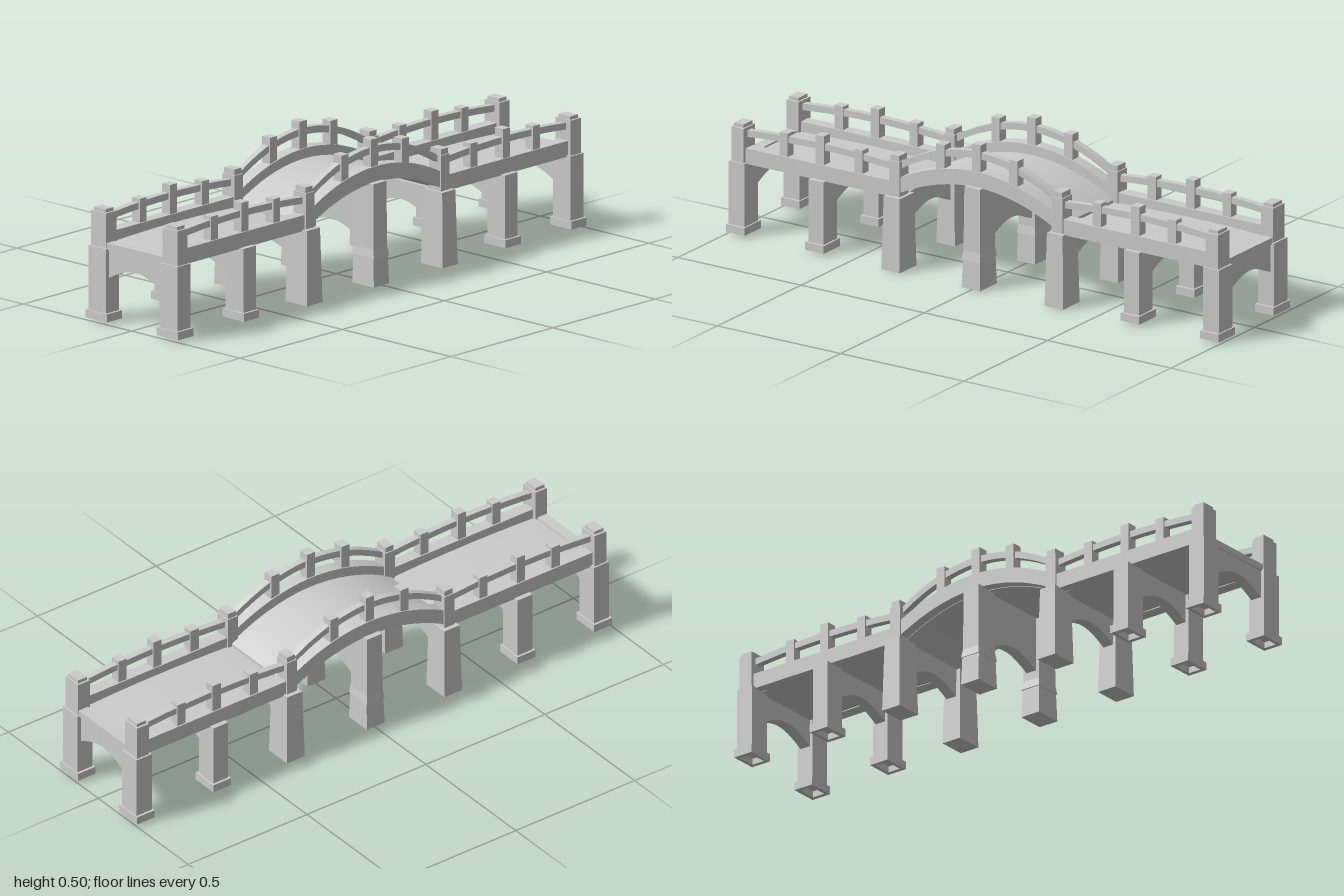
import * as THREE from 'three';

const material = new THREE.MeshStandardMaterial({ color: 0xcccccc, flatShading: true });
const SIDE = 0.1645; // x of both parapets and pillar rows
const MID = 0.334;   // z where the arched span meets the level spans
const END = 0.962;   // z of the end pillars

export function createModel() {
  const model = new THREE.Group();

  const add = (name, geometry, x = 0, y = 0, z = 0) => {
    const mesh = new THREE.Mesh(geometry, material);
    mesh.name = name;
    mesh.position.set(x, y, z);
    model.add(mesh);
    return mesh;
  };

  // box given by its centre in x and z and its lower and upper height
  const block = (name, x, z, w, d, y0, y1) =>
    add(name, new THREE.BoxGeometry(w, y1 - y0, d), x, (y0 + y1) / 2, z);

  // box whose top and bottom have different sizes
  const taper = (name, x, z, w0, d0, w1, d1, y0, y1) => {
    const g = new THREE.BoxGeometry(1, y1 - y0, 1);
    const p = g.attributes.position;
    for (let i = 0; i < p.count; i++) {
      const top = p.getY(i) > 0;
      p.setX(i, p.getX(i) * (top ? w1 : w0));
      p.setZ(i, p.getZ(i) * (top ? d1 : d0));
    }
    g.computeVertexNormals();
    return add(name, g, x, (y0 + y1) / 2, z);
  };

  // band running along z whose underside follows height(z)
  const band = (name, x, width, z0, z1, height, thickness, steps) => {
    const lower = [], upper = [];
    for (let i = 0; i <= steps; i++) {
      const z = z0 + (z1 - z0) * i / steps;
      lower.push(new THREE.Vector2(z, height(z)));
      upper.unshift(new THREE.Vector2(z, height(z) + thickness));
    }
    const g = new THREE.ExtrudeGeometry(new THREE.Shape([...lower, ...upper]),
      { depth: width, bevelEnabled: false });
    g.translate(0, 0, -width / 2).rotateY(-Math.PI / 2);
    return add(name, g, x);
  };

  const bow = (base, rise, centre, half) => z => base + rise * (1 - ((z - centre) / half) ** 2);

  // arched panel between two pillars
  const archPanel = (z, top) => {
    const s = new THREE.Shape();
    s.moveTo(-0.125, 0.157);
    for (let i = 1; i <= 14; i++) {
      const x = -0.125 + 0.25 * i / 14;
      s.lineTo(x, 0.157 + 0.041 * Math.cos(x / 0.125 * Math.PI / 2));
    }
    s.lineTo(0.125, top);
    s.lineTo(-0.125, top);
    const g = new THREE.ExtrudeGeometry(s, { depth: 0.04, bevelEnabled: false });
    g.translate(0, 0, -0.02);
    add('archPanel', g, 0, 0, z);
  };

  // hollow foot ring
  const foot = (x, z) => {
    const rect = (path, w, d) => path.moveTo(-w, -d).lineTo(w, -d).lineTo(w, d).lineTo(-w, d).closePath();
    const s = rect(new THREE.Shape(), 0.0495, 0.0375);
    s.holes.push(rect(new THREE.Path(), 0.034, 0.024));
    const g = new THREE.ExtrudeGeometry(s, { depth: 0.028, bevelEnabled: false });
    g.rotateX(-Math.PI / 2);
    add('pillarFoot', g, x, 0.008, z);
  };

  // decks and end beams
  const deckArch = bow(0.262, 0.093, 0, MID);
  band('archedDeck', 0, 0.3, -MID, MID, z => deckArch(z) - 0.002, 0.022, 28);
  for (const e of [-1, 1]) {
    const deck = bow(0.252, 0.008, e * 0.648, 0.314);
    band('levelDeck', 0, 0.3, e > 0 ? MID : -END, e > 0 ? END : -MID, deck, 0.02, 10);
    block('endBeam', 0, e * 0.965, 0.34, 0.04, 0.255, 0.279);
  }

  // arched panels under the decks
  for (const z of [-0.96, -0.64, -MID, MID, 0.64, 0.96]) archPanel(z, 0.262);
  archPanel(0.005, 0.357);

  for (const s of [-1, 1]) {
    const x = s * SIDE;

    // arched parapet: beam, handrail, posts
    band('archedBeam', x, 0.045, -MID, MID, deckArch, 0.055, 28);
    band('archedHandrail', x, 0.024, -MID, MID, bow(0.345, 0.108, 0, MID), 0.024, 28);
    block('archPost', x, 0.005, 0.037, 0.035, 0.37, 0.505);
    for (const z of [-0.145, 0.15]) block('archPost', x, z, 0.037, 0.034, 0.35, 0.478);

    // centre pillar with collar
    taper('centrePillarBase', x, 0.005, 0.1, 0.075, 0.092, 0.07, 0, 0.1);
    taper('centrePillarCollar', x, 0.005, 0.1, 0.075, 0.09, 0.067, 0.1, 0.13);
    taper('centrePillar', x, 0.005, 0.09, 0.067, 0.085, 0.063, 0.13, 0.357);

    for (const e of [-1, 1]) {
      // level parapet: beam, slightly bowed handrail, posts
      const [z0, z1] = e > 0 ? [MID, END] : [-END, -MID];
      block('levelBeam', x, e * 0.648, 0.045, END - MID, 0.255, 0.31);
      band('levelHandrail', x, 0.024, z0, z1, bow(0.345, 0.016, e * 0.648, 0.314), 0.023, 10);
      block('railPost', x, e * 0.64, 0.037, 0.034, 0.3, 0.412);
      for (const z of [0.483, 0.787]) block('railPost', x, e * z, 0.035, 0.034, 0.3, 0.393);

      // pillars where the spans meet
      taper('spanPillar', x, e * 0.331, 0.1, 0.075, 0.087, 0.064, 0, 0.26);
      block('spanPost', x, e * 0.331, 0.056, 0.042, 0.255, 0.385);
      block('spanPostCap', x, e * 0.331, 0.048, 0.034, 0.385, 0.405);

      // intermediate pillars
      block('levelPillar', x, e * 0.64, 0.081, 0.062, 0.03, 0.258);
      foot(x, e * 0.64);

      // end pillars and posts
      block('endPillar', x, e * END, 0.081, 0.064, 0.03, 0.26);
      foot(x, e * END);
      block('endPost', x, e * END, 0.069, 0.05, 0.26, 0.382);
      block('endPostCap', x, e * END, 0.053, 0.038, 0.382, 0.394);
    }
  }
  return model;
}
